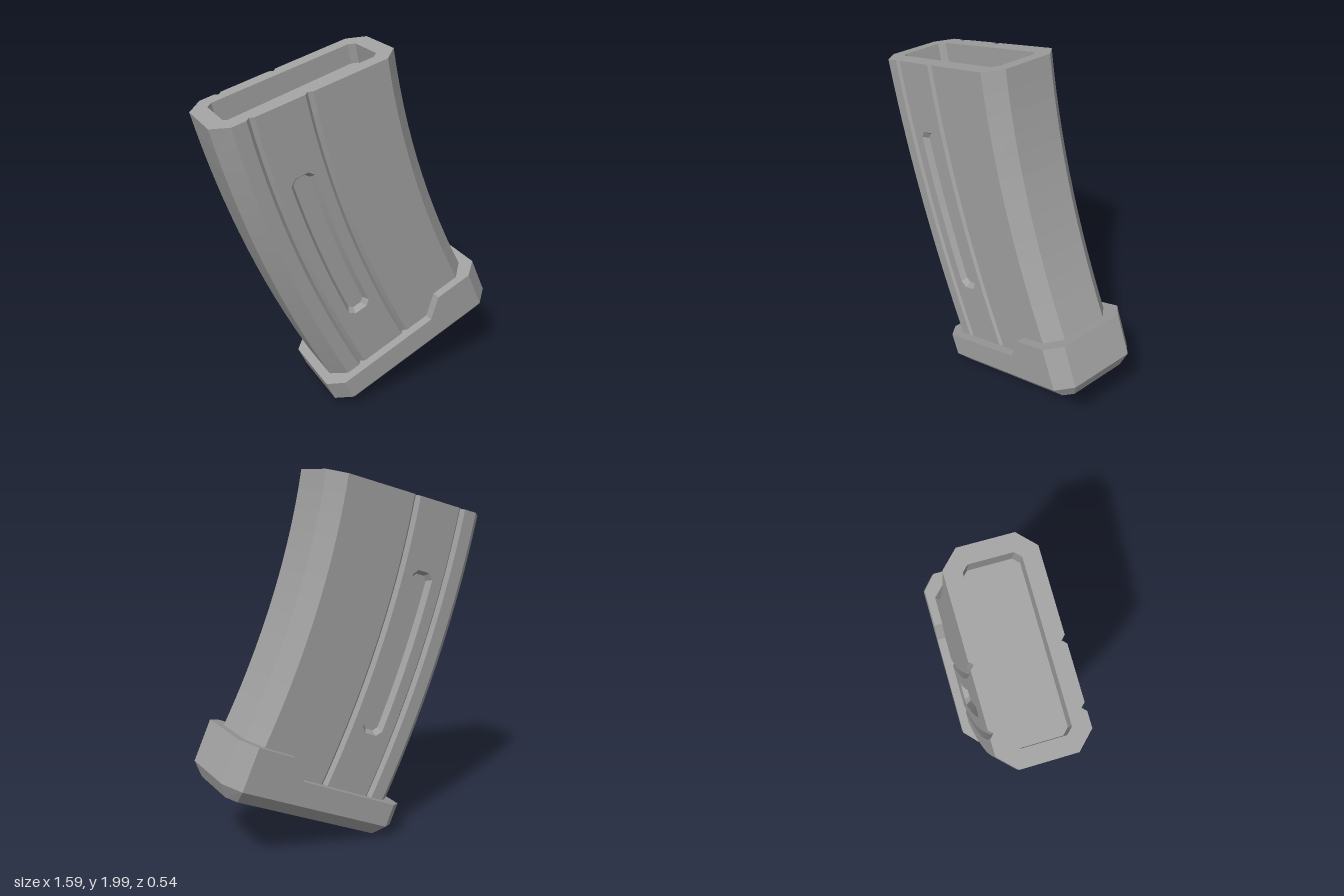
import * as THREE from 'three';

const grey = new THREE.MeshStandardMaterial({ color: 0xa0a0a0, flatShading: true, side: THREE.DoubleSide });
grey.name = 'grey';

// Joins equal-length loops of [x, y, z] points. Each loop runs along one half
// and back along the other, so caps are strips between paired points.
function loft(loops, { capStart = false, skip = () => false } = {}) {
  const pos = [];
  const quad = (a, b, c, d) => pos.push(...a, ...b, ...c, ...a, ...c, ...d);
  const n = loops[0].length;
  for (let r = 0; r < loops.length - 1; r++) {
    const a = loops[r], b = loops[r + 1];
    for (let i = 0; i < n; i++) {
      const j = (i + 1) % n;
      if (!skip(r, i)) quad(a[i], a[j], b[j], b[i]);
    }
  }
  const first = loops[0], last = loops[loops.length - 1];
  for (let i = 0; i < n / 2 - 1; i++) {
    const k = n - 1 - i;
    quad(last[i], last[i + 1], last[k - 1], last[k]);
    if (capStart) quad(first[k], first[k - 1], first[i + 1], first[i]);
  }
  const g = new THREE.BufferGeometry();
  g.setAttribute('position', new THREE.Float32BufferAttribute(pos, 3));
  g.computeVertexNormals();
  return g;
}

function part(name, geometry) {
  const m = new THREE.Mesh(geometry, grey);
  m.name = name;
  return m;
}

// Outer and inner curves of the bent body: u runs across, t from top to bottom
const V = (x, y) => new THREE.Vector2(x, y);
const outerEdge = new THREE.QuadraticBezierCurve(V(-0.794, 1.741), V(-0.603, 0.931), V(-0.18, 0.14));
const innerEdge = new THREE.QuadraticBezierCurve(V(0.169, 1.995), V(0.296, 1.287), V(0.72, 0.54));
function bent(u, t, z) {
  const p = outerEdge.getPoint(t).lerp(innerEdge.getPoint(t), u);
  return [p.x, p.y, z];
}

const mirrorHalf = half => [...half, ...half.map(([x, z]) => [x, -z]).reverse()];
const ROWS = 14, SIDE = 0.218;

// Chamfered section with two V grooves per side; the wall between them is the slot panel
function makeBody() {
  const half = [[0, 0.135], [0.083, SIDE]];
  for (const u of [0.16, 0.465]) half.push([u, SIDE], [u + 0.02, SIDE - 0.02], [u + 0.04, SIDE]);
  half.push([0.917, SIDE], [1, 0.135]);
  const inner = half.map(([u], i) => i === 0 ? [0.085, 0.105]
    : i === half.length - 1 ? [0.915, 0.105]
    : [THREE.MathUtils.clamp(u, 0.115, 0.885), 0.135]);
  const ring = (h, t) => mirrorHalf(h).map(([u, z]) => bent(u, t, z));

  const loops = [];
  for (let r = 0; r <= ROWS; r++) loops.push(ring(half, 1 - r / ROWS));
  loops.push(ring(inner, 0), ring(inner, 0.07)); // rim and shallow open top
  const panel = 4, n = half.length * 2;
  return loft(loops, { skip: (r, i) => r < ROWS && (i === panel || i === n - 2 - panel) });
}

// Flat wall between the grooves with a recessed, chamfer-ended slot
function makeSlotPanel() {
  const loop = (u0, u1, t0, t1, cu, ct, z) => {
    const side = (u, s) => {
      const pts = [[u - s * cu, t1]];
      for (let r = 0; r <= ROWS; r++) pts.push([u, THREE.MathUtils.lerp(t1 - ct, t0 + ct, r / ROWS)]);
      pts.push([u - s * cu, t0]);
      return pts;
    };
    return [...side(u1, 1), ...side(u0, -1).reverse()].map(([u, t]) => bent(u, t, z));
  };
  return loft([
    loop(0.2, 0.465, 0, 1, 0.085, 0, SIDE),
    loop(0.268, 0.403, 0.235, 0.785, 0.03, 0.018, SIDE),
    loop(0.288, 0.383, 0.247, 0.773, 0.022, 0.014, SIDE - 0.03),
  ]);
}

// Octagonal floor plate: bevelled underneath, stepped up at its inner end
function makeBase() {
  const half = [[0, 0.19], [0.085, 0.268], [0.69, 0.268], [0.784, 0.268], [1.003, 0.268], [1.088, 0.19]];
  const sole = [[0.06, 0.165], [0.11, 0.208], [0.69, 0.208], [0.784, 0.208], [0.978, 0.208], [1.028, 0.165]];
  const ring = (h, y) => mirrorHalf(h).map(([x, z]) => [x, y(x), z]);
  const step = x => (x > 0.7 ? 0.107 : 0);
  return loft([ring(sole, () => -0.194), ring(half, () => -0.127), ring(half, step)], { capStart: true });
}

export function createModel() {
  const group = new THREE.Group();
  group.name = 'curvedMagazine';
  group.add(part('body', makeBody()));

  const frontPanel = part('frontSlotPanel', makeSlotPanel());
  const backPanel = part('backSlotPanel', frontPanel.geometry);
  backPanel.scale.z = -1;
  group.add(frontPanel, backPanel);

  const base = part('basePlate', makeBase());
  base.position.set(-0.249, 0.159, 0);
  base.rotation.z = THREE.MathUtils.degToRad(24);
  group.add(base);
  return group;
}
